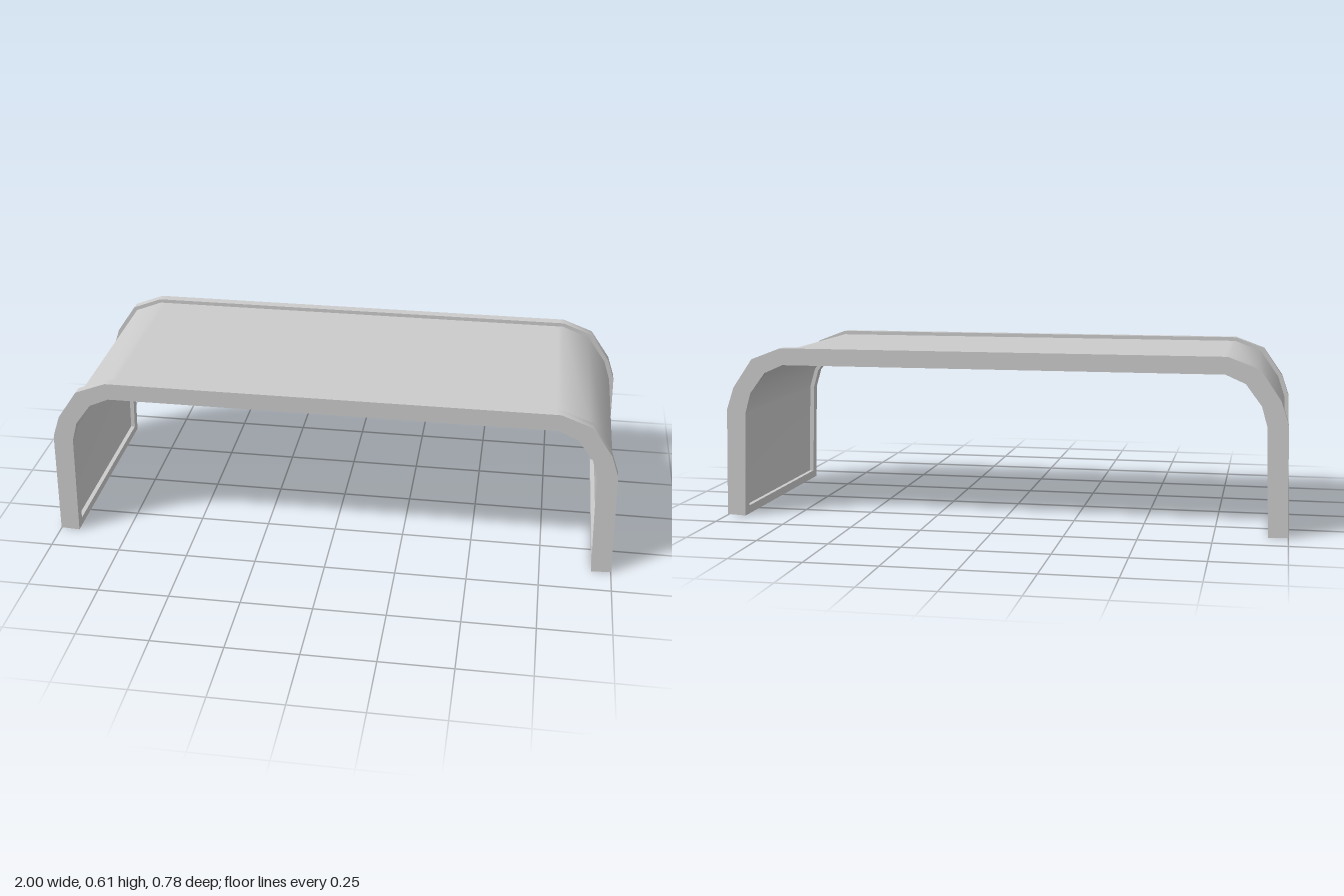
import * as THREE from 'three';
import { toCreasedNormals } from 'three/addons/utils/BufferGeometryUtils.js';

// Half profile of the arch, foot to top: [outer x, outer y, inner x, inner y]
const PROFILE = [
  [1.0, 0.003, 0.932, 0],
  [0.991, 0.375, 0.921, 0.365],
  [0.99, 0.39, 0.92, 0.38],
  [0.964, 0.467, 0.901, 0.447],
  [0.893, 0.57, 0.846, 0.521],
  [0.785, 0.611, 0.778, 0.551],
  [0.765, 0.611, 0.76, 0.551],
];
const HALF_DEPTH = 0.389, RIM = 0.035, RAIL = 0.03, INSET = 0.23;

// Point across the wall thickness: t = 0 outside, t = 1 inside
const across = ([ox, oy, ix, iy], t) =>
  new THREE.Vector2(ox + (ix - ox) * t, oy + (iy - oy) * t);

// Closed arch outline between two depths of the wall
function archShape(profile, t0, t1) {
  const side = (t) => {
    const right = profile.map((p) => across(p, t));
    const left = right.map((p) => new THREE.Vector2(-p.x, p.y)).reverse();
    return [...right, ...left];
  };
  return new THREE.Shape([...side(t0), ...side(t1).reverse()]);
}

function extrudePart(name, shape, z0, z1, material) {
  const geometry = new THREE.ExtrudeGeometry(shape, { depth: z1 - z0, bevelEnabled: false });
  geometry.translate(0, 0, z0);
  const mesh = new THREE.Mesh(toCreasedNormals(geometry, 0.75), material);
  mesh.name = name;
  return mesh;
}

export function createModel() {
  const group = new THREE.Group();
  group.name = 'archedCover';
  const material = new THREE.MeshStandardMaterial({ color: 0xcccccc });
  const panelEnd = HALF_DEPTH - RIM;

  // Raised rims along the front and back edges
  const rim = archShape(PROFILE, 0, 1);
  group.add(extrudePart('frontRim', rim, panelEnd, HALF_DEPTH, material));
  group.add(extrudePart('backRim', rim, -HALF_DEPTH, -panelEnd, material));

  // Wall section at the top of the foot rails
  const k = RAIL / PROFILE[1][1];
  const railTop = PROFILE[0].map((v, i) => v + (PROFILE[1][i] - v) * k);
  railTop[1] = railTop[3] = RAIL;

  // Recessed panel between the rims, thinner on both faces
  const panel = archShape([railTop, ...PROFILE.slice(1)], INSET, 1 - INSET);
  group.add(extrudePart('panel', panel, -panelEnd, panelEnd, material));

  // Foot rails closing the frame at the bottom of each leg
  for (const s of [1, -1]) {
    const corners = [across(PROFILE[0], 0), across(railTop, 0), across(railTop, 1), across(PROFILE[0], 1)];
    corners.forEach((p) => { p.x *= s; });
    const rail = new THREE.Shape(corners);
    group.add(extrudePart(s > 0 ? 'leftFootRail' : 'rightFootRail', rail, -panelEnd, panelEnd, material));
  }
  return group;
}
